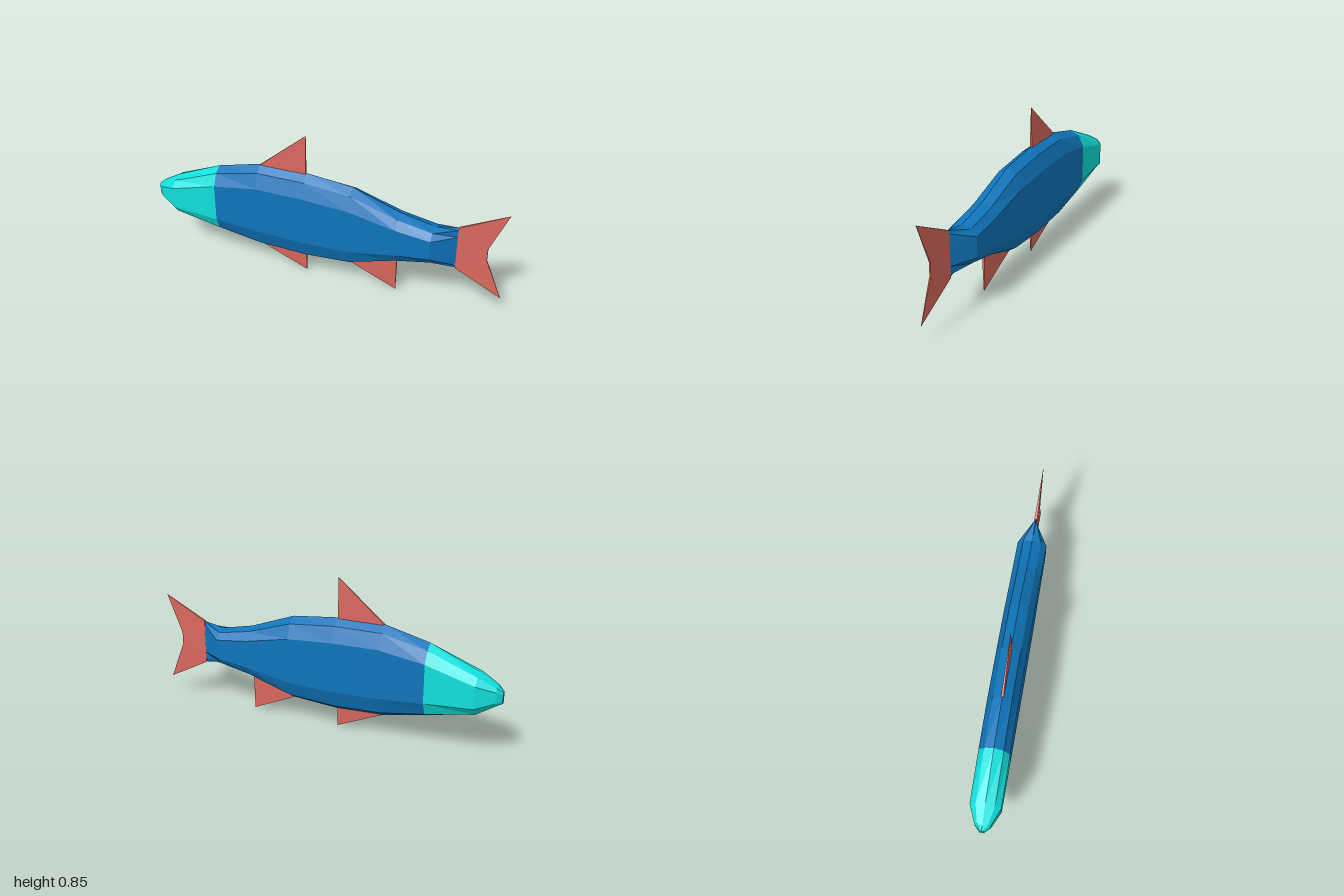
import * as THREE from 'three';

const bodyBlue = new THREE.MeshStandardMaterial({ color: 0x0f75bb });
const headTeal = new THREE.MeshStandardMaterial({ color: 0x10e0dc });
const finRed = new THREE.MeshStandardMaterial({ color: 0xda685e });
for (const m of [bodyBlue, headTeal, finRed]) m.flatShading = true;

// Body stations: x, top, bottom, half width at the flank, half width at the shoulder
const stations = [
  [-1, 0.385, 0.315, 0.012, 0.008],
  [-0.97, 0.41, 0.298, 0.042, 0.028],
  [-0.875, 0.465, 0.235, 0.082, 0.05],
  [-0.61, 0.575, 0.17, 0.082, 0.05],
  [-0.36, 0.635, 0.12, 0.082, 0.05],
  [-0.09, 0.632, 0.106, 0.082, 0.05],
  [0.17, 0.602, 0.122, 0.082, 0.05],
  [0.43, 0.505, 0.21, 0.082, 0.05],
  [0.62, 0.462, 0.252, 0.082, 0.05],
  [0.748, 0.484, 0.234, 0.006, 0.004],
];

// Ten-sided section: ridge, shoulder, flank, lower flank, belly edge, keel and mirror
function section([x, top, bottom, flank, shoulder]) {
  const mid = (top + bottom) / 2, half = (top - bottom) / 2;
  const side = [[0.87, shoulder], [0.55, flank], [-0.51, flank], [-0.87, shoulder]];
  const ring = [[1, 0], ...side, [-1, 0], ...side.map(([h, z]) => [h, -z]).reverse()];
  return ring.map(([h, z]) => [x, mid + h * half, z]);
}

function loft(rows, capFirst, capLast) {
  const rings = rows.map(section), n = rings[0].length, pos = [];
  const tri = (a, b, c) => pos.push(...a, ...b, ...c);
  for (let i = 0; i < rings.length - 1; i++) {
    for (let j = 0; j < n; j++) {
      const k = (j + 1) % n;
      tri(rings[i][j], rings[i][k], rings[i + 1][k]);
      tri(rings[i][j], rings[i + 1][k], rings[i + 1][j]);
    }
  }
  const first = rings[0], last = rings[rings.length - 1];
  for (let j = 1; j < n - 1; j++) {
    if (capFirst) tri(first[0], first[j + 1], first[j]);
    if (capLast) tri(last[0], last[j], last[j + 1]);
  }
  const g = new THREE.BufferGeometry();
  g.setAttribute('position', new THREE.Float32BufferAttribute(pos, 3));
  g.computeVertexNormals();
  return g;
}

// Fin: flat outline whose thickness shrinks towards its tips
function fin(outline, halfThickness) {
  const shape = new THREE.Shape(outline.map(([x, y]) => new THREE.Vector2(x, y)));
  const g = new THREE.ExtrudeGeometry(shape, { depth: 2, bevelEnabled: false });
  const p = g.attributes.position;
  for (let i = 0; i < p.count; i++) {
    p.setZ(i, (p.getZ(i) - 1) * halfThickness(p.getX(i), p.getY(i)));
  }
  g.computeVertexNormals();
  return g;
}

export function createModel() {
  const model = new THREE.Group();
  model.name = 'fish';
  const add = (name, geometry, material) => {
    const mesh = new THREE.Mesh(geometry, material);
    mesh.name = name;
    model.add(mesh);
  };

  add('head', loft(stations.slice(0, 4), true, false), headTeal);
  add('body', loft(stations.slice(3), false, true), bodyBlue);

  // Fins on the centre line
  const thinUp = (x, y) => (y > 0.7 ? 0.0008 : 0.007);
  const thinDown = (x, y) => (y < 0.05 ? 0.0008 : 0.008);
  const thinBack = (x) => (x > 0.95 ? 0.0008 : x > 0.85 ? 0.004 : 0.008);
  add('dorsalFin', fin([[-0.36, 0.632], [-0.095, 0.61], [-0.095, 0.853]], thinUp), finRed);
  add('pelvicFin', fin([[-0.36, 0.123], [-0.095, 0.003], [-0.095, 0.13]], thinDown), finRed);
  add('analFin', fin([[0.17, 0.125], [0.428, 0.005], [0.428, 0.225]], thinDown), finRed);
  add('tailFin', fin([[0.745, 0.234], [0.997, 0.1], [0.905, 0.32], [0.905, 0.39],
    [0.997, 0.61], [0.745, 0.484]], thinBack), finRed);

  model.position.y = -0.003;
  const root = new THREE.Group();
  root.name = 'fishModel';
  root.add(model);
  return root;
}
